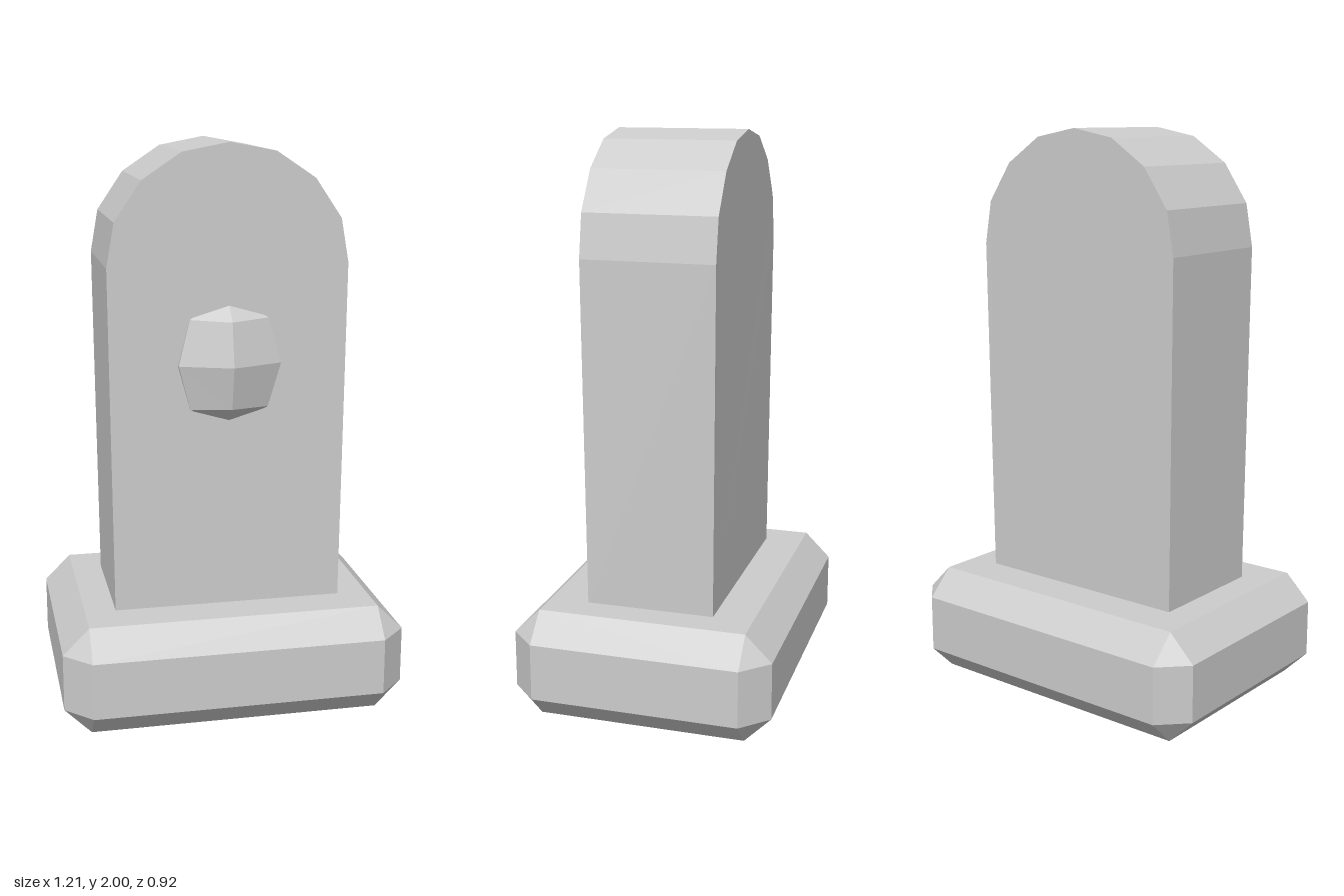
import * as THREE from 'three';
import { ConvexGeometry } from 'three/addons/geometries/ConvexGeometry.js';

const stone = new THREE.MeshStandardMaterial({ color: 0xcccccc });
stone.name = 'light grey stone';

// Box with 45 degree chamfers on every edge: hx, hy, hz are half sizes
function chamferedBox(hx, hy, hz, c) {
  const points = [];
  for (const x of [-1, 1]) for (const y of [-1, 1]) for (const z of [-1, 1]) {
    points.push(
      new THREE.Vector3(x * hx, y * (hy - c), z * (hz - c)),
      new THREE.Vector3(x * (hx - c), y * hy, z * (hz - c)),
      new THREE.Vector3(x * (hx - c), y * (hy - c), z * hz));
  }
  return new ConvexGeometry(points);
}

// Round-topped slab that widens slightly upwards
function slabGeometry() {
  const half = [[0.405, 0.37], [0.414, 1.595], [0.387, 1.745], [0.295, 1.88], [0.16, 1.97]];
  const left = half.map(([x, y]) => [-x, y]).reverse();
  const outline = [...half, [0, 2], ...left].map(([x, y]) => new THREE.Vector2(x, y));
  const g = new THREE.ExtrudeGeometry(new THREE.Shape(outline), { depth: 2, bevelEnabled: false });
  g.translate(0, 0, -1);
  const p = g.attributes.position;
  for (let i = 0; i < p.count; i++) {
    const t = Math.min(1, (p.getY(i) - 0.37) / 1.225);
    p.setZ(i, p.getZ(i) * (0.226 + 0.006 * t));
  }
  g.computeVertexNormals();
  return g;
}

// Six-sided faceted boss, flattened front to back
function bossGeometry() {
  const profile = [[0, -0.24], [0.157, -0.16], [0.205, 0], [0.157, 0.16], [0, 0.24]]
    .map(([r, y]) => new THREE.Vector2(r, y));
  const g = new THREE.LatheGeometry(profile, 6).toNonIndexed();
  g.scale(1, 1, 0.645);
  const p = g.attributes.position;
  for (let i = 0; i < p.count; i++) p.setY(i, p.getY(i) * (1 - 0.6 * Math.abs(p.getZ(i))));
  g.computeVertexNormals();
  return g;
}

export function createModel() {
  const model = new THREE.Group();
  model.name = 'standingStone';
  const add = (name, geometry, y, z = 0) => {
    const flat = geometry.index ? geometry.toNonIndexed() : geometry;
    flat.computeVertexNormals();
    const mesh = new THREE.Mesh(flat, stone);
    mesh.name = name;
    mesh.position.set(0, y, z);
    model.add(mesh);
  };
  add('base', chamferedBox(0.606, 0.194, 0.459, 0.093), 0.194);
  add('slab', slabGeometry(), 0);
  add('frontBoss', bossGeometry(), 1.26, 0.184);
  return model;
}
